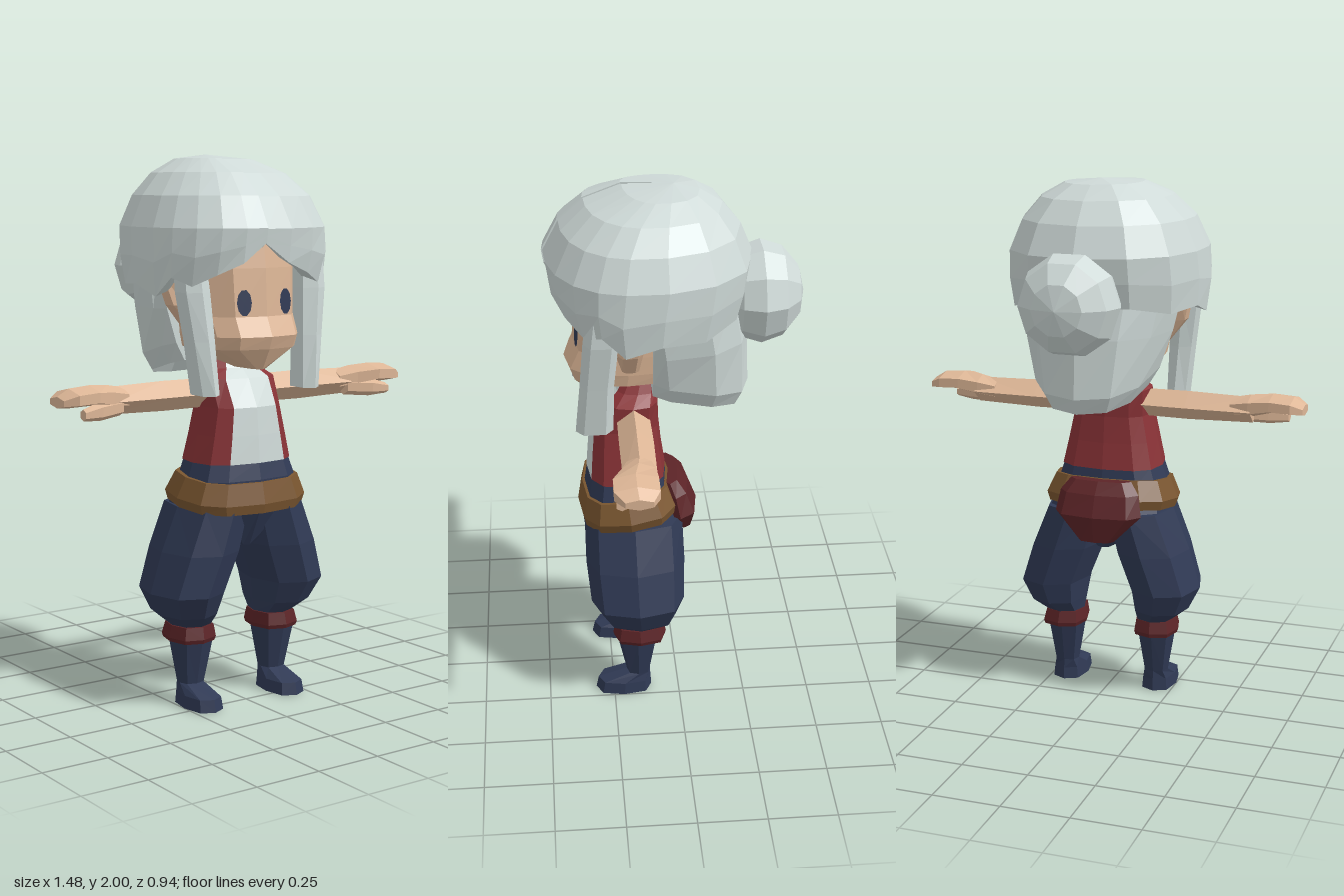
import * as THREE from 'three';

const mat = (name, color, side = THREE.FrontSide) => {
  const m = new THREE.MeshStandardMaterial({ color, side, flatShading: true });
  m.name = name;
  return m;
};

// Signed power, squares off a round section when p < 1
const sp = (v, p) => Math.sign(v) * Math.abs(v) ** p;

// Horizontal section: [y, half width, front z, back z, centre x]
function ring([y, rx, zf, zb, cx = 0], n, p) {
  return Array.from({ length: n }, (_, i) => {
    const a = (i / n) * Math.PI * 2;
    return new THREE.Vector3(cx + rx * sp(Math.sin(a), p), y, (zf + zb) / 2 + ((zf - zb) / 2) * sp(Math.cos(a), p));
  });
}

// Faceted skin over rows of points; "only" keeps chosen columns, "open" leaves the rows unjoined
function skin(rows, { open = false, only = null } = {}) {
  const pos = [];
  const tri = (...pts) => pts.forEach((q) => pos.push(q.x, q.y, q.z));
  const n = rows[0].length;
  for (let r = 0; r < rows.length - 1; r++) {
    for (let i = 0; i < (open ? n - 1 : n); i++) {
      if (only && !only(i)) continue;
      const j = (i + 1) % n;
      tri(rows[r][i], rows[r][j], rows[r + 1][j]);
      tri(rows[r][i], rows[r + 1][j], rows[r + 1][i]);
    }
  }
  if (!open && !only) {
    const mid = (row) => row.reduce((s, q) => s.add(q), new THREE.Vector3()).divideScalar(n);
    const lo = rows[0], hi = rows[rows.length - 1], cl = mid(lo), ch = mid(hi);
    for (let i = 0; i < n; i++) {
      const j = (i + 1) % n;
      tri(cl, lo[j], lo[i]);
      tri(ch, hi[i], hi[j]);
    }
  }
  const g = new THREE.BufferGeometry();
  g.setAttribute('position', new THREE.Float32BufferAttribute(pos, 3));
  g.computeVertexNormals();
  return g;
}
const loft = (sections, n = 12, p = 0.7, opt) => skin(sections.map((s) => ring(s, n, p)), opt);

// Limb along x: [x, y, z, half height, half depth]
const limb = (sections, n = 6) => skin(sections.map(([x, y, z, ry, rz]) =>
  Array.from({ length: n }, (_, i) => {
    const a = (i / n) * Math.PI * 2;
    return new THREE.Vector3(x, y + ry * Math.cos(a), z + rz * Math.sin(a));
  })));

// Mirrored copy across x = 0, with the corner order turned round
function mirrored(geo) {
  const g = geo.clone();
  const a = g.attributes.position;
  for (let i = 0; i < a.count; i += 3) {
    const v = [0, 2, 1].map((k) => new THREE.Vector3().fromBufferAttribute(a, i + k));
    v.forEach((q, k) => a.setXYZ(i + k, -q.x, q.y, q.z));
  }
  g.computeVertexNormals();
  return g;
}

// Moves every point by a rule
function reshape(geo, rule) {
  const a = geo.attributes.position, v = new THREE.Vector3();
  for (let i = 0; i < a.count; i++) {
    rule(v.fromBufferAttribute(a, i));
    a.setXYZ(i, v.x, v.y, v.z);
  }
  geo.computeVertexNormals();
  return geo;
}

// Hair dome profile: [y, half width, front z, back z, widest z]
const DOME = [
  [1.5, 0.352, 0.39, -0.225, 0.15], [1.62, 0.366, 0.445, -0.265, 0.15], [1.74, 0.358, 0.463, -0.28, 0.13],
  [1.85, 0.31, 0.405, -0.235, 0.12], [1.93, 0.235, 0.315, -0.17, 0.09], [1.98, 0.14, 0.18, -0.09, 0.05],
];
function domePoint(deg, y, lift = 0) {
  let k = 0;
  while (k < DOME.length - 2 && y > DOME[k + 1][0]) k++;
  const t = (y - DOME[k][0]) / (DOME[k + 1][0] - DOME[k][0]);
  const [, rx, zf, zb, zm] = DOME[k].map((v, i) => THREE.MathUtils.lerp(v, DOME[k + 1][i], t));
  const a = THREE.MathUtils.degToRad(deg), s = Math.sin(a), c = Math.cos(a);
  const part = c > 0 ? -0.07 * (1 - Math.abs(s)) : 0;
  const x = (rx + lift) * sp(s, 0.88) + part;
  return new THREE.Vector3(x, y + lift * 0.6, zm + (c > 0 ? zf + lift - zm : zm - zb + lift) * sp(c, 0.88));
}

// One half of the dome, from the parting round to the back; hem height given by angle
const HEM = [[0, 1.69], [13, 1.62], [30, 1.58], [48, 1.54], [66, 1.57], [82, 1.5], [100, 1.54], [125, 1.53], [152, 1.56], [180, 1.56]];
function domeHalf(side, lift) {
  const cols = HEM.map(([deg, hem]) => ({ deg: deg * side, hem, lift: deg === 180 ? 0 : lift }));
  cols.unshift({ ...cols[0], lift: -0.03 }); // tucked-in edge along the parting
  if (side < 0) cols.reverse();
  const levels = [
    (c) => { // turned-in hem
      const q = domePoint(c.deg, c.hem, c.lift);
      return new THREE.Vector3(q.x * 0.82, q.y + 0.02, 0.13 + (q.z - 0.13) * 0.82);
    },
    (c) => domePoint(c.deg, c.hem, c.lift),
    (c) => domePoint(c.deg, (c.hem + 1.74) / 2, c.lift),
    ...[1.74, 1.85, 1.93, 1.98].map((y) => (c) => domePoint(c.deg, y, c.lift)),
    () => new THREE.Vector3(-0.01, 1.998, 0.0),
  ];
  return skin(levels.map((f) => cols.map(f)), { open: true });
}

export function createModel() {
  const root = new THREE.Group();
  root.name = 'figure';
  const hair = mat('paleGrey', 0xcfdad8, THREE.DoubleSide);
  const skinTone = mat('skin', 0xdeb797);
  const navy = mat('navy', 0x303a55);
  const red = mat('red', 0x8a3337, THREE.DoubleSide);
  const darkRed = mat('darkRed', 0x5c2427);
  const brown = mat('brown', 0x7a5630);

  const add = (name, geo, material) => {
    const m = new THREE.Mesh(geo, material);
    m.name = name;
    root.add(m);
    return m;
  };
  const pair = (name, geo, material) => {
    add(name + 'Left', geo, material);
    add(name + 'Right', mirrored(geo), material);
  };

  // Boots, cuffs and baggy trousers
  pair('boot', loft([
    [0, 0.065, 0.32, 0.105, 0.185], [0.045, 0.06, 0.31, 0.108, 0.185], [0.08, 0.047, 0.2, 0.11, 0.185],
    [0.24, 0.073, 0.235, 0.08, 0.185], [0.3, 0.07, 0.22, 0.09, 0.185],
  ], 8, 0.75), navy);
  pair('cuff', loft([
    [0.24, 0.082, 0.245, 0.05, 0.187], [0.255, 0.087, 0.25, 0.047, 0.187], [0.3, 0.078, 0.24, 0.06, 0.185],
  ], 8, 0.75), darkRed);
  pair('trouserLeg', loft([
    [0.295, 0.07, 0.225, 0.065, 0.182], [0.345, 0.105, 0.285, 0.01, 0.21], [0.43, 0.133, 0.33, -0.02, 0.224],
    [0.58, 0.14, 0.345, -0.025, 0.172], [0.74, 0.125, 0.345, -0.02, 0.12],
  ], 8, 0.85), navy);
  add('hips', loft([
    [0.59, 0.035, 0.27, 0.04], [0.74, 0.235, 0.34, -0.01], [0.84, 0.213, 0.338, 0.03], [0.905, 0.19, 0.325, 0.04],
  ]), navy);

  // Belt sits lower at the front
  add('belt', reshape(loft([
    [0.74, 0.246, 0.357, -0.005], [0.775, 0.257, 0.365, -0.01], [0.85, 0.225, 0.348, 0.025],
  ]), (v) => { v.y += (0.18 - v.z) * 0.11; }), brown);
  add('pouch', loft([
    [0.64, 0.07, 0.0, -0.065], [0.74, 0.17, 0.06, -0.083], [0.82, 0.155, 0.06, -0.05], [0.865, 0.12, 0.06, -0.012],
  ], 8, 0.8), darkRed);

  // Torso: pale shirt front between the sides of the waistcoat
  const torso = [
    [0.9, 0.195, 0.33, 0.035], [1.0, 0.172, 0.322, 0.05], [1.1, 0.15, 0.312, 0.06],
    [1.2, 0.153, 0.26, 0.06], [1.235, 0.105, 0.22, 0.06], [1.28, 0.08, 0.19, 0.065],
  ];
  const isFront = (i) => i === 0 || i === 11;
  add('shirt', loft(torso, 12, 0.7, { only: isFront }), hair);
  add('waistcoat', loft(torso, 12, 0.7, { only: (i) => !isFront(i) }), red);

  // Arms held straight out, with mitten hands
  pair('arm', limb([
    [0.08, 1.147, 0.158, 0.052, 0.06], [0.3, 1.147, 0.158, 0.054, 0.062], [0.55, 1.147, 0.16, 0.048, 0.06],
  ], 4), skinTone);
  pair('hand', limb([
    [0.47, 1.15, 0.16, 0.04, 0.05], [0.54, 1.162, 0.165, 0.042, 0.068], [0.62, 1.174, 0.18, 0.036, 0.09],
    [0.7, 1.17, 0.18, 0.034, 0.09], [0.742, 1.158, 0.175, 0.02, 0.055],
  ]), skinTone);
  pair('thumb', limb([
    [0.5, 1.128, 0.185, 0.032, 0.035], [0.6, 1.122, 0.215, 0.034, 0.034], [0.672, 1.115, 0.23, 0.02, 0.022],
  ]), skinTone);

  // Head with a pointed chin, ears and eyes
  add('head', loft([
    [1.24, 0.03, 0.345, 0.12], [1.315, 0.188, 0.385, -0.02], [1.36, 0.196, 0.402, -0.05], [1.43, 0.198, 0.37, -0.08],
    [1.6, 0.205, 0.36, -0.1], [1.74, 0.19, 0.34, -0.08], [1.85, 0.1, 0.24, 0],
  ]), skinTone);
  pair('ear', loft([
    [1.38, 0.015, 0.2, 0.14, 0.2], [1.47, 0.05, 0.225, 0.125, 0.24], [1.56, 0.03, 0.2, 0.11, 0.28],
  ], 6, 0.9), skinTone);
  for (const s of [1, -1]) {
    const eye = add(s > 0 ? 'eyeLeft' : 'eyeRight', new THREE.CircleGeometry(1, 10).scale(0.029, 0.047, 1), navy);
    eye.position.set(0.09 * s, 1.48, 0.357);
    eye.rotation.set(-0.05, 0.19 * s, 0);
  }

  // Hair: parted dome, side locks and bun
  add('hairLeft', domeHalf(1, 0), hair);
  add('hairRight', domeHalf(-1, 0.005), hair);
  pair('sideLock', loft([
    [1.16, 0.04, 0.37, 0.235, 0.22], [1.35, 0.048, 0.352, 0.23, 0.237],
    [1.52, 0.056, 0.338, 0.212, 0.254], [1.66, 0.05, 0.32, 0.2, 0.26],
  ], 6, 0.8), hair);
  // Back fall: flat towards the face, hollow below, hem drops to the rear
  add('hairBack', reshape(loft([
    [1.3, 0.15, 0.25, -0.19], [1.225, 0.185, 0.3, -0.245], [1.29, 0.225, 0.34, -0.272],
    [1.45, 0.27, 0.36, -0.265], [1.64, 0.31, 0.38, -0.23],
  ], 12, 0.85), (v) => {
    v.z = Math.min(v.z, 0.09);
    if (v.y < 1.4) v.y += (v.z + 0.05) * 0.25;
  }), hair);
  const bun = add('bun', new THREE.SphereGeometry(1, 10, 6).rotateX(Math.PI / 2).toNonIndexed(), hair);
  bun.scale.set(0.19, 0.187, 0.155);
  bun.position.set(0, 1.585, -0.312);

  return root;
}
